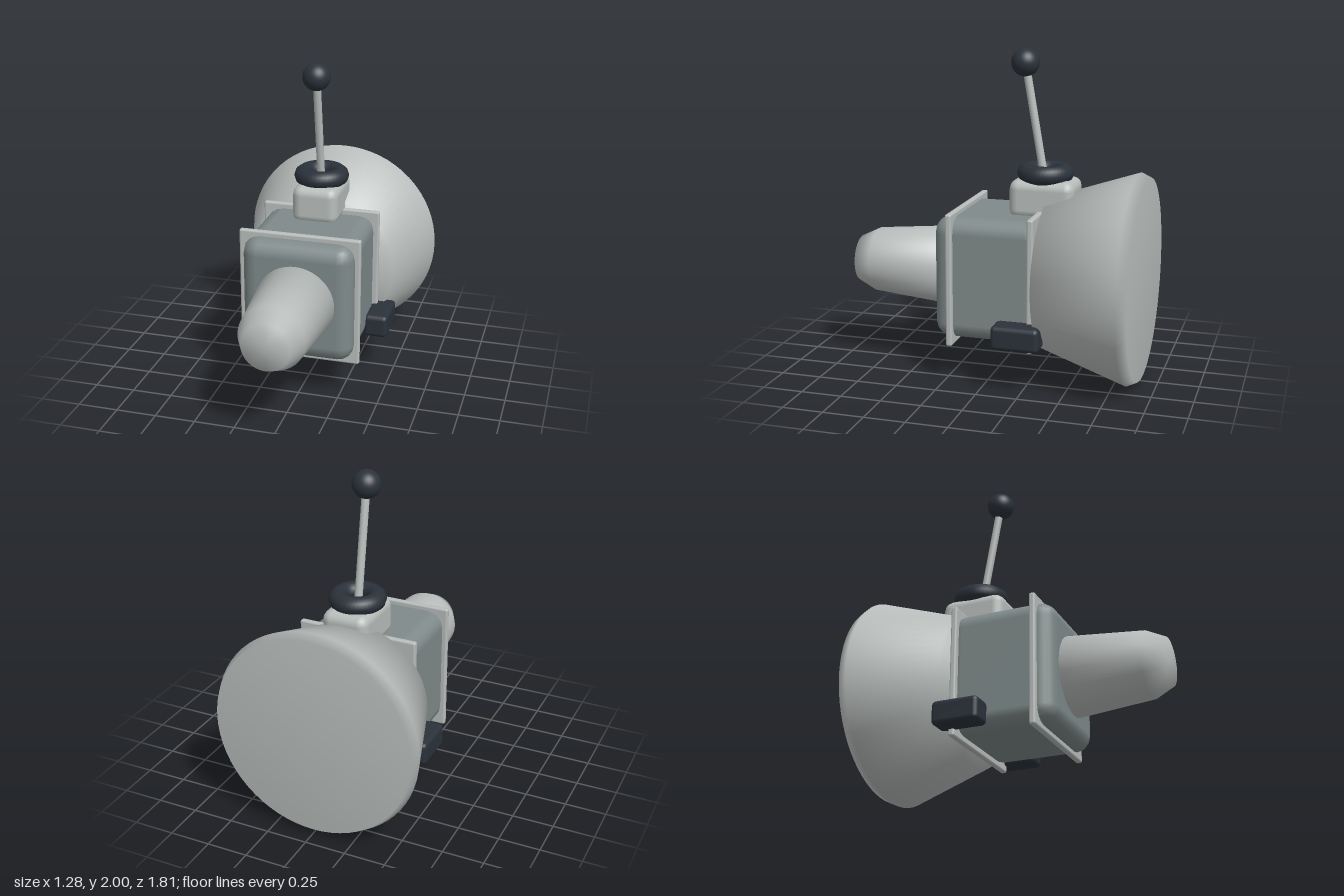
import * as THREE from 'three';
import { RoundedBoxGeometry } from 'three/addons/geometries/RoundedBoxGeometry.js';

const AXIS_Y = 0.643;

function material(name, color) {
  const m = new THREE.MeshStandardMaterial({ color });
  m.name = name;
  return m;
}

export function createModel() {
  const group = new THREE.Group();
  group.name = 'device';
  const light = material('light grey', 0xb8bdbb);
  const grey = material('mid grey', 0x7f8a8a);
  const dark = material('dark slate', 0x2b323b);

  const add = (name, geometry, mat, x, y, z) => {
    const mesh = new THREE.Mesh(geometry, mat);
    mesh.name = name;
    mesh.position.set(x, y, z);
    group.add(mesh);
    return mesh;
  };
  const roundedBox = (name, size, segments, radius, mat, x, y, z) =>
    add(name, new RoundedBoxGeometry(...size, segments, radius), mat, x, y, z);

  // Solid of revolution along z; profile entries are [radius, z] from back to front
  const turned = (name, profile, mat) => {
    const points = profile.map(([r, z]) => new THREE.Vector2(r, z));
    const geometry = new THREE.LatheGeometry(points, 64).rotateX(Math.PI / 2);
    return add(name, geometry, mat, 0, AXIS_Y, 0);
  };

  // Main housing with two square flanges
  roundedBox('housing', [0.69, 0.75, 0.67], 2, 0.1, grey, 0, 0.645, -0.015);
  for (const [name, z] of [['frontFlange', 0.207], ['rearFlange', -0.29]]) {
    roundedBox(name, [0.75, 0.81, 0.038], 2, 0.012, light, 0, 0.645, z);
  }

  // Flared rear bell and tapered front nose
  turned('rearBell', [[0, -0.905], [0.61, -0.905], [0.638, -0.845], [0.465, -0.318], [0, -0.318]], light);
  turned('frontNose', [[0, 0.3], [0.245, 0.3], [0.2, 0.79], [0.145, 0.905], [0, 0.905]], light);

  // Lever pedestal and its collar
  roundedBox('leverPedestal', [0.29, 0.24, 0.4], 2, 0.06, light, 0, 1.11, -0.29);
  add('leverCollar', new THREE.TorusGeometry(0.115, 0.056, 10, 40).rotateX(Math.PI / 2), dark, 0, 1.26, -0.288);

  // Tilted lever rod and knob
  const base = new THREE.Vector3(0, 1.2, -0.285);
  const tip = new THREE.Vector3(0, 1.915, -0.16);
  const direction = tip.clone().sub(base);
  const centre = base.clone().add(tip).multiplyScalar(0.5);
  const rod = add('leverRod', new THREE.CylinderGeometry(0.024, 0.024, direction.length(), 20), light, ...centre.toArray());
  rod.quaternion.setFromUnitVectors(new THREE.Vector3(0, 1, 0), direction.normalize());
  add('leverKnob', new THREE.SphereGeometry(0.085, 32, 20), dark, ...tip.toArray());

  // Side pads, mirrored
  for (const side of [-1, 1]) {
    roundedBox(side > 0 ? 'leftPad' : 'rightPad', [0.15, 0.145, 0.29], 2, 0.028, dark, side * 0.405, 0.353, -0.225);
  }

  return group;
}
